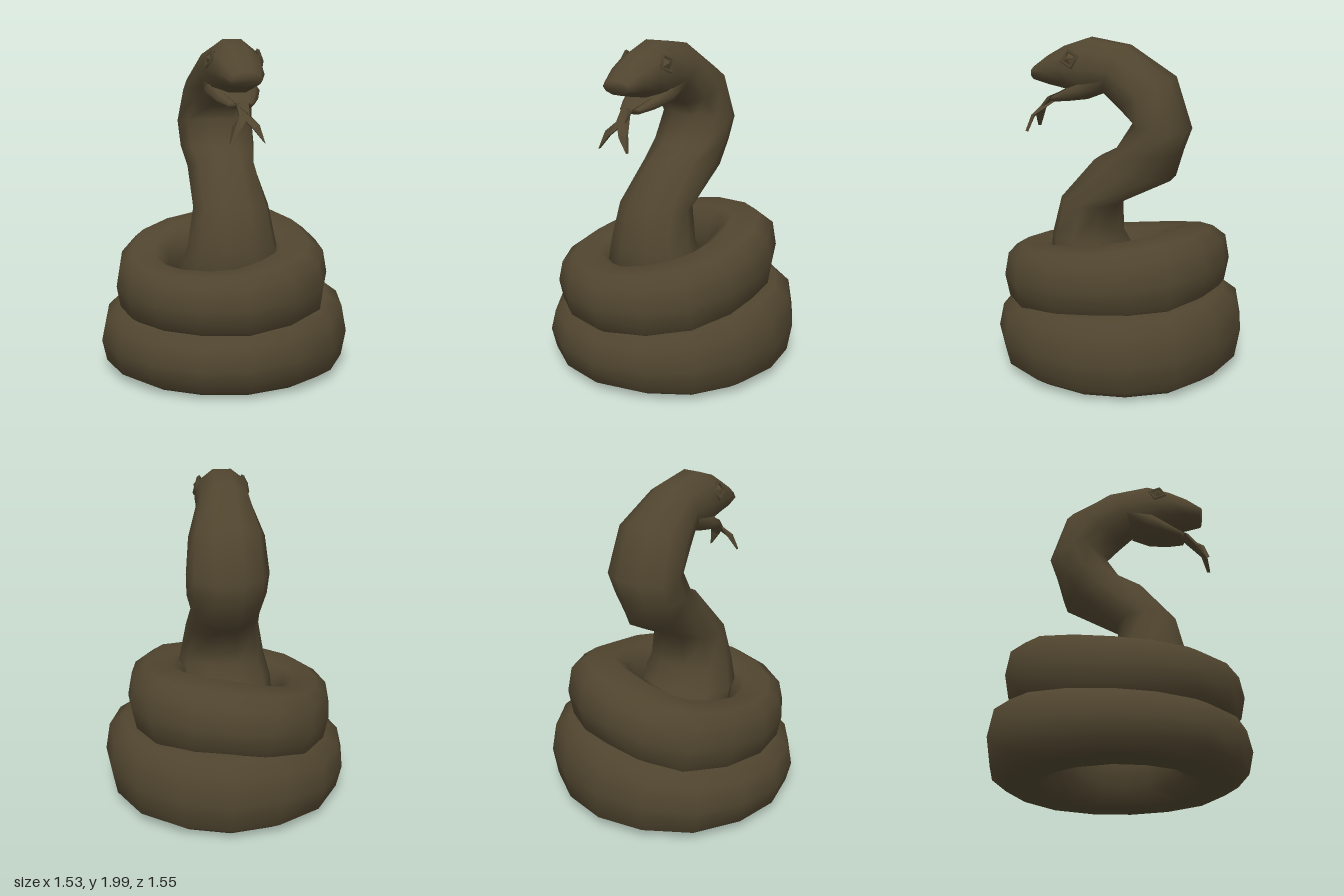
import * as THREE from 'three';

const SIDES = 10;
const X = new THREE.Vector3(1, 0, 0);
const UP = new THREE.Vector3(0, 1, 0);

// An oval ring around a centre, boxier for a lower power; never below the ground
function ring(center, side, normal, w, h, power) {
  const soft = (v) => Math.sign(v) * Math.pow(Math.abs(v), power);
  const pts = [];
  for (let j = 0; j < SIDES; j++) {
    const a = (j / SIDES) * Math.PI * 2;
    const p = center.clone()
      .addScaledVector(side, soft(Math.cos(a)) * w)
      .addScaledVector(normal, soft(Math.sin(a)) * h);
    p.y = Math.max(0, p.y);
    pts.push(p);
  }
  return pts;
}

// Skin a list of rings, joined into a loop or capped at both ends
function loft(rings, closed) {
  const pos = [], idx = [], n = rings.length;
  rings.forEach((r) => r.forEach((p) => pos.push(p.x, p.y, p.z)));
  for (let i = 0; i < (closed ? n : n - 1); i++) {
    const next = ((i + 1) % n) * SIDES;
    for (let j = 0; j < SIDES; j++) {
      const k = (j + 1) % SIDES;
      const a = i * SIDES + j, b = i * SIDES + k, c = next + j, d = next + k;
      idx.push(a, b, d, a, d, c);
    }
  }
  const last = (n - 1) * SIDES;
  for (let j = 1; j < SIDES - 1 && !closed; j++) {
    idx.push(0, j + 1, j, last, last + j, last + j + 1);
  }
  const g = new THREE.BufferGeometry();
  g.setAttribute('position', new THREE.Float32BufferAttribute(pos, 3));
  g.setIndex(idx);
  g.computeVertexNormals();
  return g;
}

// Rings mirrored about x = 0 from [topZ, topY, bottomZ, bottomY, halfWidth]
function profileLoft(sections) {
  return loft(sections.map(([tz, ty, bz, by, w]) => {
    const top = new THREE.Vector3(0, ty, tz), bottom = new THREE.Vector3(0, by, bz);
    const center = top.clone().add(bottom).multiplyScalar(0.5);
    const n = top.clone().sub(bottom);
    return ring(center, X, n.clone().normalize(), w, n.length() / 2, 0.95);
  }), false);
}

// One turn of the body from [x, z, halfWidth, bottomY, topY], left - front - right - back
function coilGeometry(points) {
  const path = new THREE.CatmullRomCurve3(
    points.map(([x, z, , y0, y1]) => new THREE.Vector3(x, (y0 + y1) / 2, z)), true, 'catmullrom');
  const size = new THREE.CatmullRomCurve3(
    points.map(([, , w, y0, y1]) => new THREE.Vector3(w, (y1 - y0) / 2, 0)), true, 'catmullrom');
  const rings = [], steps = 16;
  for (let i = 0; i < steps; i++) {
    const tangent = path.getTangent(i / steps);
    const side = UP.clone().cross(tangent).normalize();
    const normal = tangent.clone().cross(side).normalize();
    const s = size.getPoint(i / steps);
    rings.push(ring(path.getPoint(i / steps), side, normal, s.x, s.y * 1.03, 0.7));
  }
  return loft(rings, true);
}

const LOWER_COIL = [
  [-0.56, 0.03, 0.21, 0, 0.36],
  [-0.40, 0.41, 0.21, 0, 0.35],
  [-0.02, 0.57, 0.21, 0, 0.36],
  [0.39, 0.41, 0.21, 0, 0.42],
  [0.55, 0.02, 0.21, 0, 0.47],
  [0.41, -0.38, 0.21, 0, 0.49],
  [0.00, -0.56, 0.21, 0, 0.50],
  [-0.41, -0.39, 0.21, 0, 0.42],
];

const UPPER_COIL = [
  [-0.51, 0.03, 0.165, 0.33, 0.69],
  [-0.38, 0.39, 0.18, 0.33, 0.67],
  [-0.02, 0.56, 0.19, 0.33, 0.69],
  [0.33, 0.39, 0.19, 0.36, 0.76],
  [0.41, 0.02, 0.195, 0.42, 0.81],
  [0.32, -0.32, 0.20, 0.45, 0.88],
  [-0.02, -0.46, 0.20, 0.47, 0.86],
  [-0.36, -0.37, 0.18, 0.38, 0.78],
];

// Forked tongue: a flat outline bent forward and down
function tongueGeometry() {
  const half = [[0.09, 1.70], [0.035, 1.63], [0.03, 1.57], [0.075, 1.52], [0.10, 1.42], [0.035, 1.50], [0, 1.54]];
  const outline = half.concat(half.slice(0, -1).reverse().map(([x, y]) => [-x, y]));
  const shape = new THREE.Shape(outline.map(([x, y]) => new THREE.Vector2(x, y)));
  const g = new THREE.ExtrudeGeometry(shape, { depth: 0.02, bevelEnabled: false });
  const bend = [[1.42, 0.565], [1.5, 0.55], [1.57, 0.49], [1.63, 0.44], [1.70, 0.28]];
  const p = g.attributes.position;
  for (let i = 0; i < p.count; i++) {
    const y = p.getY(i);
    let k = 0;
    while (k < bend.length - 2 && y > bend[k + 1][0]) k++;
    const f = (y - bend[k][0]) / (bend[k + 1][0] - bend[k][0]);
    p.setZ(i, p.getZ(i) + THREE.MathUtils.lerp(bend[k][1], bend[k + 1][1], f));
  }
  g.computeVertexNormals();
  return g;
}

export function createModel() {
  const model = new THREE.Group();
  model.name = 'coiledSnake';
  const skin = new THREE.MeshStandardMaterial({ color: 0x50452f });
  skin.name = 'olive brown skin';
  const add = (name, geometry, parent = model) => {
    const mesh = new THREE.Mesh(geometry, skin);
    mesh.name = name;
    parent.add(mesh);
    return mesh;
  };

  add('lowerCoil', coilGeometry(LOWER_COIL));
  add('upperCoil', coilGeometry(UPPER_COIL));

  // Body flaring inside the coils, raised neck and upper head
  add('neckAndHead', profileLoft([
    [-0.16, 0.38, 0.34, 0.40, 0.25],
    [-0.20, 0.50, 0.40, 0.50, 0.32],
    [-0.08, 0.66, 0.44, 0.64, 0.31],
    [0.00, 0.80, 0.43, 0.78, 0.27],
    [0.00, 1.00, 0.37, 1.02, 0.23],
    [-0.34, 1.17, 0.16, 1.27, 0.21],
    [-0.385, 1.34, 0.02, 1.34, 0.235],
    [-0.43, 1.47, -0.09, 1.51, 0.24],
    [-0.33, 1.78, 0.00, 1.59, 0.22],
    [-0.05, 1.96, 0.10, 1.67, 0.165],
    [0.20, 2.00, 0.20, 1.64, 0.165],
    [0.34, 1.95, 0.32, 1.68, 0.155],
    [0.45, 1.885, 0.45, 1.705, 0.13],
    [0.55, 1.81, 0.53, 1.725, 0.095],
  ]));

  // Lower jaw, slightly open
  add('lowerJaw', profileLoft([
    [0.06, 1.82, 0.09, 1.67, 0.15],
    [0.24, 1.76, 0.19, 1.63, 0.165],
    [0.34, 1.69, 0.32, 1.61, 0.125],
    [0.43, 1.64, 0.41, 1.60, 0.075],
  ]));

  add('forkedTongue', tongueGeometry());

  // Diamond eyes with raised lids on both sides
  for (const s of [1, -1]) {
    const eye = new THREE.Group();
    eye.name = s > 0 ? 'leftEye' : 'rightEye';
    eye.position.set(s * 0.146, 1.88, 0.27);
    eye.rotation.set(0.3, 0, s * 0.3);
    add('eyelid', new THREE.TorusGeometry(0.05, 0.013, 4, 4), eye).rotation.y = Math.PI / 2;
    add('eyeball', new THREE.OctahedronGeometry(1), eye).scale.set(0.022, 0.038, 0.04);
    model.add(eye);
  }
  return model;
}
